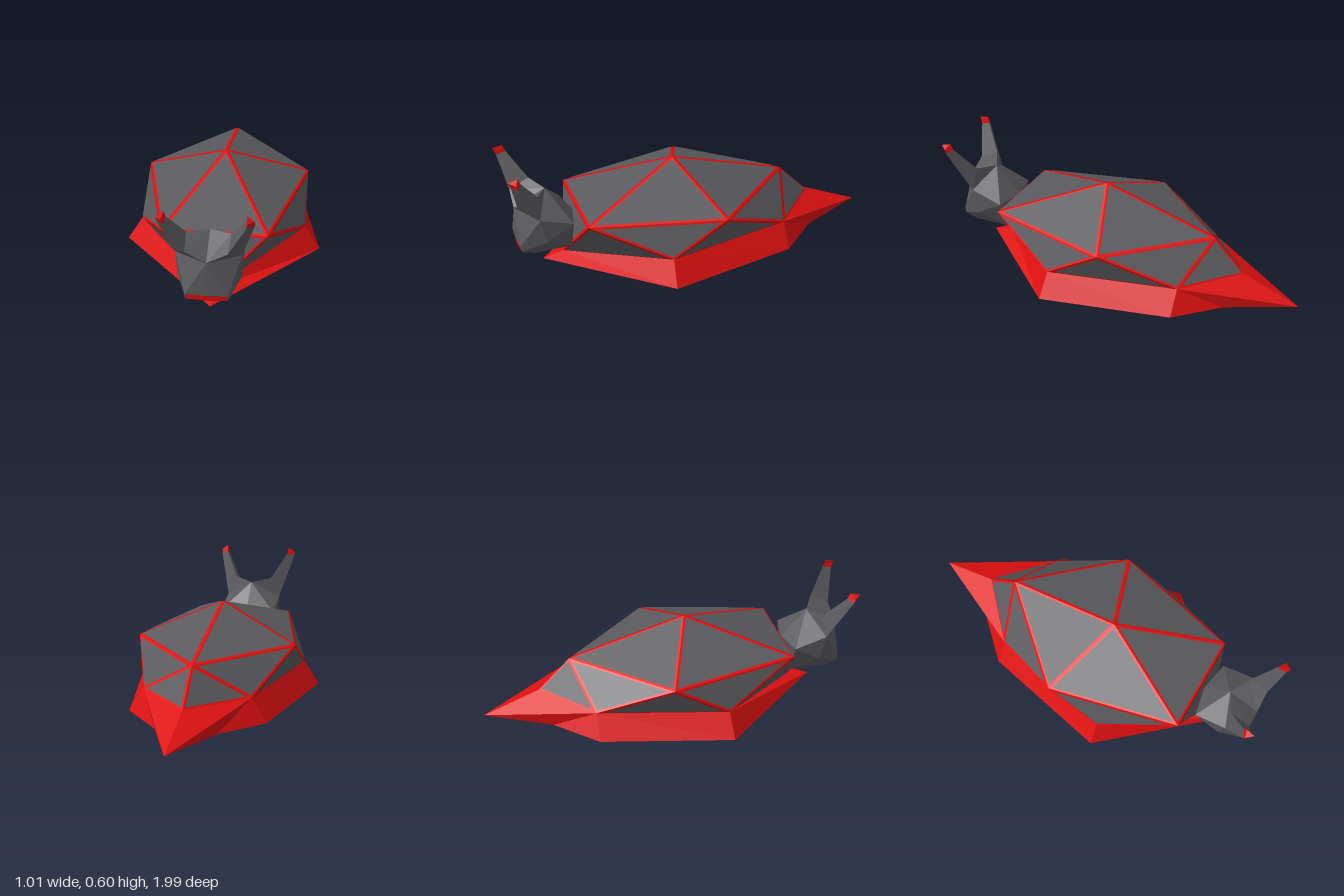
import * as THREE from 'three';

const grey = new THREE.MeshStandardMaterial({ color: 0x5a5a5e, flatShading: true });
const red = new THREE.MeshStandardMaterial({ color: 0xdd1010, flatShading: true });

const V = (x, y, z) => new THREE.Vector3(x, y, z);
const flip = (p) => V(-p.x, p.y, p.z);
// Mirror faces across x = 0, reversing the corner order
const mirrored = (faces) => faces.map((f) => f.map(flip).reverse());
const both = (faces) => [...faces, ...mirrored(faces)];

// Flat-shaded mesh from convex faces given as lists of points
function faceMesh(name, faces, material) {
  const pts = [];
  for (const f of faces)
    for (let i = 1; i < f.length - 1; i++) pts.push(f[0], f[i], f[i + 1]);
  const geo = new THREE.BufferGeometry().setFromPoints(pts);
  geo.computeVertexNormals();
  const mesh = new THREE.Mesh(geo, material);
  mesh.name = name;
  return mesh;
}

// Shrink a triangle by d on every edge and lift it slightly off the surface
function panel([a, b, c], d = 0.011, lift = 0.004) {
  const la = b.distanceTo(c), lb = c.distanceTo(a), lc = a.distanceTo(b);
  const sum = la + lb + lc;
  const tri = new THREE.Triangle(a, b, c);
  const radius = (2 * tri.getArea()) / sum;
  const normal = tri.getNormal(V(0, 0, 0));
  const centre = V(0, 0, 0)
    .addScaledVector(a, la / sum).addScaledVector(b, lb / sum).addScaledVector(c, lc / sum);
  return [a, b, c].map((p) =>
    p.clone().sub(centre).multiplyScalar(1 - d / radius).add(centre).addScaledVector(normal, lift));
}

export function createModel() {
  const model = new THREE.Group();
  model.name = 'slug';

  // Shell corners
  const apex = V(0, 0.472, 0.1), shoulder = V(0.26, 0.297, 0.63), side = V(0.425, 0.297, -0.05);
  const back = V(0, 0.297, -0.52), rim = V(0.427, 0.125, 0.24), rearRim = V(0.28, 0.125, -0.43);
  const tailTop = V(0, 0.125, -0.69), nose = V(0, 0.025, 0.71);
  const shell = [
    ...both([
      [apex, shoulder, side], [apex, side, back], [side, shoulder, rim], [side, rim, rearRim],
      [side, rearRim, back], [back, rearRim, tailTop], [shoulder, nose, rim],
    ]),
    [apex, flip(shoulder), shoulder],
    [shoulder, flip(shoulder), nose],
  ];
  model.add(faceMesh('shellFrame', shell, red));
  model.add(faceMesh('shellPanels', shell.map((f) => panel(f)), grey));

  // Flared foot with pointed tail
  const ridge = V(0, 0.043, -0.9), tip = V(0, 0.008, -0.99);
  const footFront = V(0, 0, 0.82), footSide = V(0.505, 0, 0.25);
  const footRear = V(0.36, 0, -0.43), notch = V(0.16, 0, -0.64);
  model.add(faceMesh('foot', both([
    [nose, footFront, footSide, rim], [rim, footSide, footRear, rearRim],
    [rearRim, footRear, notch], [rearRim, notch, tip],
    [tailTop, rearRim, ridge], [rearRim, tip, ridge],
    [footFront, tip, notch], [footFront, notch, footRear], [footFront, footRear, footSide],
  ]), red));

  // Head
  const brow = V(0, 0.335, 0.95), hornFront = V(0.1, 0.388, 0.948), hornBack = V(0.105, 0.435, 0.845);
  const crown = V(0, 0.418, 0.785), cheek = V(0.157, 0.325, 0.85), lowCheek = V(0.155, 0.19, 0.82);
  const jaw = V(0.1, 0.157, 0.95), jawMid = V(0, 0.157, 0.955);
  const lip = V(0.1, 0.128, 0.945), lipMid = V(0, 0.128, 0.952);
  const chin = V(0.09, 0.1, 0.88), chinMid = V(0, 0.098, 0.88);
  const nape = V(0.155, 0.27, 0.68), napeMid = V(0, 0.27, 0.65);
  const throat = V(0.085, 0.1, 0.68), throatMid = V(0, 0.1, 0.68);
  const head = new THREE.Group();
  head.name = 'head';
  head.add(faceMesh('skull', both([
    [brow, jawMid, jaw], [brow, jaw, cheek], [brow, cheek, hornFront],
    [brow, hornFront, hornBack, crown],
    [crown, hornBack, cheek], [crown, cheek, nape], [crown, nape, napeMid],
    [cheek, jaw, lowCheek], [cheek, lowCheek, nape], [lowCheek, throat, nape],
    [jaw, lip, lowCheek], [lip, chin, lowCheek], [chin, throat, lowCheek],
    [lipMid, chinMid, chin, lip], [chinMid, throatMid, throat, chin],
    [napeMid, nape, throat, throatMid],
  ]), grey));
  head.add(faceMesh('mouth', both([[jawMid, lipMid, lip, jaw]]), red));

  // Three-sided horns with red tips
  const base = [cheek, hornBack, hornFront];
  const top = [V(0.223, 0.578, 0.965), V(0.188, 0.6, 0.95), V(0.195, 0.588, 1.0)];
  const collar = [V(0.224, 0.558, 0.958), V(0.183, 0.565, 0.935), V(0.186, 0.553, 0.985)];
  const sleeve = (lo, hi) => lo.map((p, i) => [p, lo[(i + 1) % 3], hi[(i + 1) % 3], hi[i]]);
  const horn = sleeve(base, collar), hornTip = [...sleeve(collar, top), top];
  head.add(faceMesh('leftHorn', horn, grey), faceMesh('leftHornTip', hornTip, red));
  head.add(faceMesh('rightHorn', mirrored(horn), grey), faceMesh('rightHornTip', mirrored(hornTip), red));
  model.add(head);

  return model;
}
